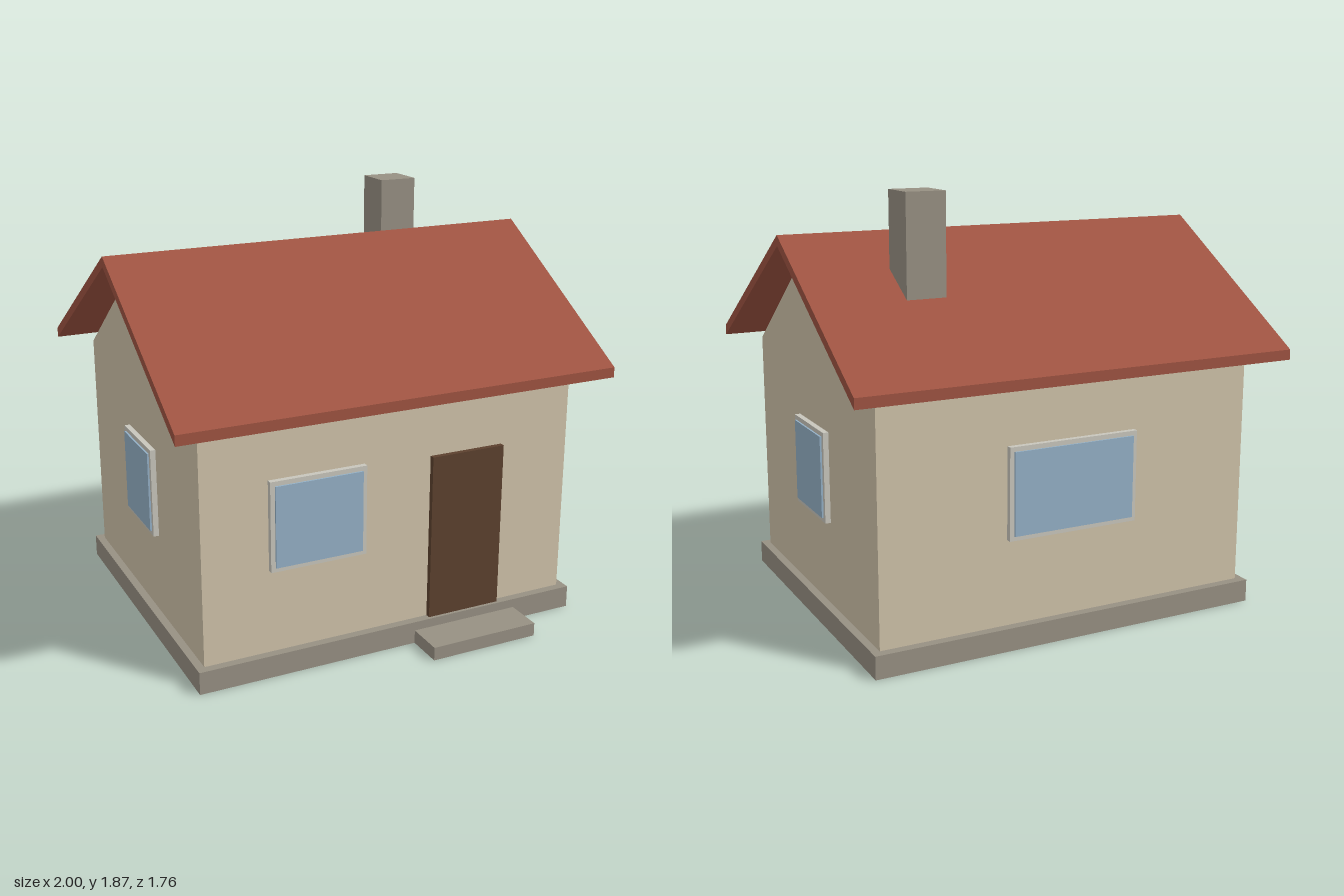
import * as THREE from 'three';

const mat = (name, color) => {
  const m = new THREE.MeshStandardMaterial({ color });
  m.name = name;
  return m;
};

export function createModel() {
  const house = new THREE.Group();
  house.name = 'house';
  const plaster = mat('plaster', 0xcfc2a9);
  const tile = mat('roofTile', 0x9e5341);
  const stone = mat('stone', 0x979083);
  const wood = mat('darkWood', 0x5c412e);
  const trim = mat('windowTrim', 0xc8c6bc);
  const glass = mat('glass', 0x94b0c6);

  // Box given by its limits on each axis
  const box = (name, material, [x0, x1], [y0, y1], [z0, z1], parent = house) => {
    const mesh = new THREE.Mesh(new THREE.BoxGeometry(x1 - x0, y1 - y0, z1 - z0), material);
    mesh.position.set((x0 + x1) / 2, (y0 + y1) / 2, (z0 + z1) / 2);
    mesh.name = name;
    parent.add(mesh);
  };

  // Side profile of [z, y] points, extruded along x and centred
  const prism = (name, material, points, width) => {
    const shape = new THREE.Shape(points.map(([z, y]) => new THREE.Vector2(-z, y)));
    const geo = new THREE.ExtrudeGeometry(shape, { depth: width, bevelEnabled: false });
    geo.translate(0, 0, -width / 2).rotateY(Math.PI / 2);
    const mesh = new THREE.Mesh(geo, material);
    mesh.name = name;
    house.add(mesh);
  };

  // Base and doorstep
  box('foundation', stone, [-0.9, 0.9], [0, 0.1], [-0.78, 0.71]);
  box('doorstep', stone, [0.097, 0.605], [0, 0.06], [0.71, 0.88]);

  // Walls with both gables, and the thin overhanging roof
  prism('walls', plaster,
    [[0.673, 0.1], [0.673, 1.122], [-0.034, 1.63], [-0.741, 1.122], [-0.741, 0.1]], 1.73);
  prism('roof', tile,
    [[0.81, 1.123], [0.81, 1.168], [-0.034, 1.676], [-0.878, 1.168], [-0.878, 1.123], [-0.034, 1.631]], 2);
  box('chimney', stone, [0.422, 0.597], [1.2, 1.865], [-0.437, -0.26]);

  // Door
  box('door', wood, [0.175, 0.525], [0.1, 0.848], [0.67, 0.696]);

  // Window: a trim slab with a slightly raised pane, facing +z before turning
  const addWindow = (name, width, x, z, turn) => {
    const group = new THREE.Group();
    const w = width / 2;
    box('frame', trim, [-w, w], [-0.198, 0.198], [-0.01, 0.024], group);
    box('pane', glass, [-w + 0.02, w - 0.02], [-0.178, 0.178], [0.024, 0.032], group);
    group.name = name;
    group.position.set(x, 0.668, z);
    group.rotation.y = turn;
    house.add(group);
  };
  addWindow('frontWindow', 0.434, -0.356, 0.673, 0);
  addWindow('backWindow', 0.6, 0, -0.741, Math.PI);
  addWindow('leftWindow', 0.36, 0.865, -0.032, Math.PI / 2);
  addWindow('rightWindow', 0.36, -0.865, -0.032, -Math.PI / 2);

  return house;
}
